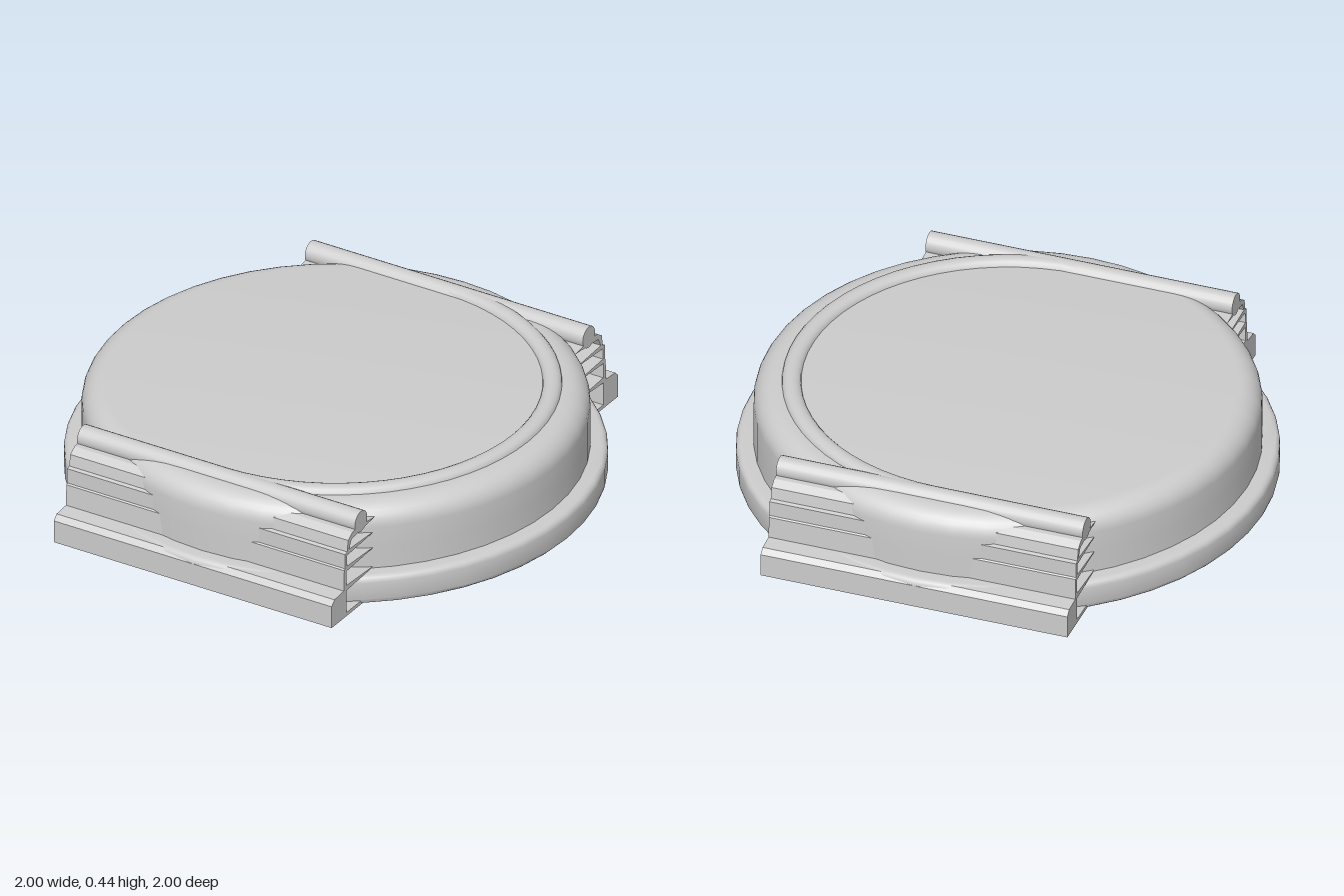
import * as THREE from 'three';
import { toCreasedNormals } from 'three/addons/utils/BufferGeometryUtils.js';

const grey = new THREE.MeshStandardMaterial({ color: 0xcccccc });
grey.name = 'light grey';

function part(name, geometry) {
  const mesh = new THREE.Mesh(geometry, grey);
  mesh.name = name;
  return mesh;
}

// Profile points are [radius, height], listed from the bottom up
function turned(name, profile, sweep = Math.PI * 2) {
  const points = profile.map(([r, y]) => new THREE.Vector2(r, y));
  const geometry = new THREE.LatheGeometry(points, sweep > 4 ? 48 : 32, 0, sweep);
  return part(name, toCreasedNormals(geometry, 0.6));
}

// Points of an arc in a turned profile
function arc(cx, cy, rx, ry, from, to, steps) {
  return Array.from({ length: steps + 1 }, (_, i) => {
    const a = from + (to - from) * i / steps;
    return [cx + rx * Math.cos(a), cy + ry * Math.sin(a)];
  });
}

// Stepped rail with inward teeth, drawn as [z, y] and extruded along x
function createBracket(name) {
  const bracket = new THREE.Group();
  bracket.name = name;
  const length = 1.2;
  const outline = [
    [0.76, 0.04], [1, 0.04], [1, 0.13], [0.98, 0.15], [0.915, 0.155],
    [0.912, 0.24], [0.906, 0.245], [0.906, 0.305], [0.892, 0.31],
    [0.885, 0.355], [0.855, 0.375], [0.81, 0.378],
    [0.7, 0.365], [0.86, 0.35], [0.88, 0.315],
    [0.69, 0.305], [0.892, 0.295], [0.894, 0.25],
    [0.69, 0.24], [0.896, 0.23], [0.896, 0.17],
    [0.7, 0.16], [0.896, 0.148], [0.896, 0.055], [0.76, 0.055],
  ];
  const shape = new THREE.Shape(outline.map(([z, y]) => new THREE.Vector2(z, y)));
  const rail = new THREE.ExtrudeGeometry(shape, { depth: length, bevelEnabled: false });
  rail.rotateY(-Math.PI / 2).translate(length / 2, 0, 0);
  bracket.add(part('steppedRail', rail));

  // Round bar along the top edge
  const bar = new THREE.CylinderGeometry(0.043, 0.043, length, 20);
  bar.rotateZ(Math.PI / 2).translate(0, 0.392, 0.795);
  bracket.add(part('topBar', bar));
  return bracket;
}

export function createModel() {
  const model = new THREE.Group();
  model.name = 'roundCase';

  // Bottom cover with rounded edge
  model.add(turned('bottomCover', [
    [0, 0], [0.85, 0], ...arc(0.85, 0.045, 0.07, 0.04, -Math.PI / 2, 0, 5),
  ]));

  // Wide flange around the base
  model.add(turned('flange', [
    [0.86, 0.04], [0.985, 0.04],
    ...arc(0.98, 0.06, 0.02, 0.02, -Math.PI / 2, 0, 3),
    ...arc(0.975, 0.13, 0.025, 0.025, 0, Math.PI / 2, 4),
    [0.92, 0.155],
  ]));

  // Main drum with soft shoulder and flat top
  model.add(turned('drum', [
    [0.935, 0.14], [0.935, 0.24],
    ...arc(0.845, 0.325, 0.09, 0.085, 0, Math.PI / 2, 8),
    [0, 0.41],
  ]));

  // Raised half rim on one side of the top
  model.add(turned('raisedRim', arc(0.795, 0.408, 0.036, 0.026, 0, Math.PI, 8), Math.PI));

  // Matching brackets front and back
  const front = createBracket('frontBracket');
  const back = createBracket('backBracket');
  back.rotation.y = Math.PI;
  model.add(front, back);
  return model;
}
